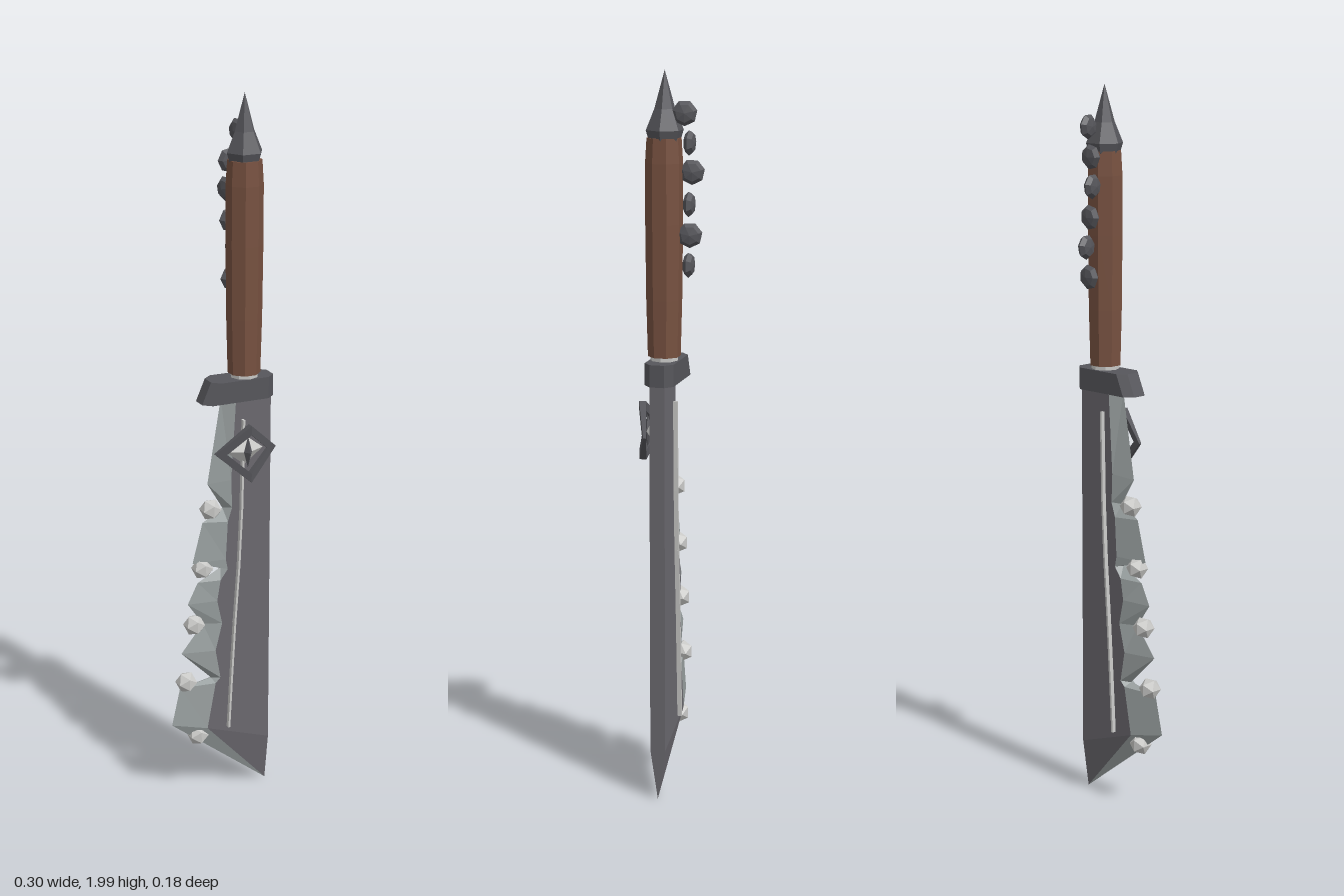
import * as THREE from 'three';

const mat = (name, color, side = THREE.FrontSide) => {
  const m = new THREE.MeshStandardMaterial({ color, flatShading: true, side });
  m.name = name;
  return m;
};

const ZC = 0.012; // mid-plane of the blade

export function createModel() {
  const steel = mat('dark steel', 0x6a686e);
  const edgeSteel = mat('sharpened steel', 0x9aa1a1);
  const iron = mat('black iron', 0x56565b);
  const pale = mat('pale metal', 0xc9c9c7);
  const wood = mat('brown wood', 0x775140);
  const model = new THREE.Group();

  const add = (name, geometry, material, x = 0, y = 0, z = 0, parent = model) => {
    const mesh = new THREE.Mesh(geometry, material);
    mesh.name = name;
    mesh.position.set(x, y, z);
    parent.add(mesh);
    return mesh;
  };

  // Mirrored faces: each polygon is given as seen from the front, z is half thickness
  const twoSided = (polygons, extra = []) => {
    const out = [];
    const fan = (p, s) => {
      for (let i = 1; i < p.length - 1; i++) {
        const tri = s > 0 ? [p[0], p[i], p[i + 1]] : [p[0], p[i + 1], p[i]];
        tri.forEach(([x, y, z]) => out.push(x, y, ZC + s * z));
      }
    };
    polygons.forEach(p => { fan(p, 1); fan(p, -1); });
    extra.forEach(p => fan(p, 1));
    const g = new THREE.BufferGeometry();
    g.setAttribute('position', new THREE.Float32BufferAttribute(out, 3));
    g.computeVertexNormals();
    return g;
  };

  // Blade stations from the guard down: edge x, edge y, bevel x, bevel y
  const T = 0.021;
  const stations = [
    [0.0, 1.18, 0.036, 1.18], [-0.04, 0.94, 0.022, 0.95], [0.005, 0.865, 0.025, 0.87],
    [-0.055, 0.83, 0.012, 0.83], [-0.085, 0.715, 0.006, 0.72], [0.0, 0.69, 0.012, 0.69],
    [-0.07, 0.655, -0.01, 0.66], [-0.1, 0.595, -0.02, 0.6], [-0.055, 0.53, -0.005, 0.53],
    [-0.12, 0.45, -0.025, 0.45], [-0.03, 0.36, -0.01, 0.365], [-0.125, 0.345, -0.025, 0.35],
    [-0.15, 0.235, -0.05, 0.215],
  ];
  const tip = [0.14, 0.01, 0];
  const spineX = 0.14, spineEnd = 0.15;
  const body = [], bevel = [];
  const E = s => [s[0], s[1], 0], B = s => [s[2], s[3], T];
  const S = (s, i) => [spineX, i === stations.length - 1 ? spineEnd : s[3], T];
  for (let i = 0; i < stations.length - 1; i++) {
    const a = stations[i], b = stations[i + 1];
    bevel.push([E(a), E(b), B(b), B(a)]);
    body.push([B(a), B(b), S(b, i + 1), S(a, i)]);
  }
  const last = stations[stations.length - 1];
  bevel.push([E(last), tip, B(last)]);
  body.push([B(last), tip, [spineX, spineEnd, T]]);
  const spine = [
    [[spineX, 1.18, T], [spineX, spineEnd, T], [spineX, spineEnd, -T], [spineX, 1.18, -T]],
    [[spineX, spineEnd, T], tip, [spineX, spineEnd, -T]],
  ];
  add('bladeBody', twoSided(body, spine), steel);
  add('bladeEdge', twoSided(bevel), edgeSteel);

  // Narrow ridge following the blade on both faces
  const ridge = [[0.055, 1.12], [0.05, 0.87], [0.042, 0.7], [0.03, 0.53], [0.02, 0.36], [0.012, 0.21]];
  for (let i = 0; i < ridge.length - 1; i++) {
    const [x0, y0] = ridge[i], [x1, y1] = ridge[i + 1];
    const seg = add('bladeRidge', new THREE.BoxGeometry(0.006, Math.hypot(x1 - x0, y1 - y0), 0.066),
      pale, (x0 + x1) / 2, (y0 + y1) / 2, ZC);
    seg.rotation.z = -Math.atan2(x0 - x1, y0 - y1);
  }

  // Studs along the cutting edge
  [[-0.03, 0.865], [-0.055, 0.695], [-0.08, 0.53], [-0.105, 0.36], [-0.07, 0.19]].forEach(([x, y]) =>
    add('edgeStud', new THREE.IcosahedronGeometry(0.031, 0), pale, x, y, 0.01));

  // Guard: chamfered slab with a slanted left end
  const plan = new THREE.Shape([
    [-0.063, -0.02], [-0.04, -0.04], [0.125, -0.04], [0.148, -0.02],
    [0.148, 0.02], [0.125, 0.04], [-0.04, 0.04], [-0.063, 0.02],
  ].map(p => new THREE.Vector2(...p)));
  const guard = new THREE.ExtrudeGeometry(plan, { depth: 0.06, bevelEnabled: false }).rotateX(-Math.PI / 2);
  const gp = guard.attributes.position;
  for (let i = 0; i < gp.count; i++) {
    if (gp.getX(i) < 0 && gp.getY(i) > 0.03) gp.setX(i, gp.getX(i) + 0.026);
  }
  add('guard', guard, iron, 0, 1.175, 0.01);

  // Handle: collar, octagonal grip and spiked hexagonal pommel
  const turned = (profile, sides, start) =>
    new THREE.LatheGeometry(profile.map(p => new THREE.Vector2(...p)), sides, start);
  const HX = 0.069;
  add('collar', new THREE.CylinderGeometry(0.038, 0.038, 0.03, 8), pale, HX, 1.24, ZC);
  add('grip', turned([[0, 1.246], [0.044, 1.246], [0.048, 1.4], [0.05, 1.6], [0.05, 1.76],
    [0.046, 1.825], [0, 1.825]], 8, Math.PI / 8), wood, HX, 0, ZC);
  add('pommel', turned([[0, 1.815], [0.042, 1.815], [0.051, 1.845], [0.028, 1.9], [0, 2]], 6, Math.PI / 2),
    iron, HX, 0, 0.01);

  // Hanging chain of flattened links behind the grip, turned alternately
  const links = [[0.075, 1.89, -0.045], [0.056, 1.812, -0.054], [0.047, 1.735, -0.058],
    [0.06, 1.652, -0.054], [0.07, 1.572, -0.058], [0.064, 1.492, -0.054]];
  links.forEach(([x, y, z], i) => {
    const g = new THREE.SphereGeometry(0.034, 7, 4).scale(1, 0.45, 1);
    if (i % 2) g.rotateX(Math.PI / 2); else g.rotateZ(Math.PI / 2).rotateY(0.2);
    add('chainLink', g, iron, x, y, z);
  });

  // Eye emblem: folded diamond frame, pale eye and dark slit
  const emblem = new THREE.Group();
  emblem.name = 'eyeEmblem';
  emblem.position.set(0.058, 1.035, 0);
  model.add(emblem);
  const diamond = (w, h) => [[w, 0], [0, h], [-w, 0], [0, -h]].map(p => new THREE.Vector2(...p));
  const frameShape = new THREE.Shape(diamond(0.091, 0.081));
  frameShape.holes.push(new THREE.Path(diamond(0.061, 0.055).reverse()));
  const frame = new THREE.ExtrudeGeometry(frameShape, { depth: 0.02, bevelEnabled: false });
  const fp = frame.attributes.position;
  for (let i = 0; i < fp.count; i++) {
    const k = Math.abs(fp.getX(i)) / 0.091;
    fp.setZ(i, 0.066 + fp.getZ(i) * (1 - 0.6 * k) - 0.026 * k);
  }
  add('eyeFrame', frame, iron, 0, 0, 0, emblem);
  add('eyeball', new THREE.OctahedronGeometry(1).scale(0.055, 0.042, 0.028), pale, 0, 0, 0.04, emblem);
  add('eyeSlit', new THREE.OctahedronGeometry(1).scale(0.012, 0.045, 0.014), iron, 0, 0, 0.062, emblem);

  return model;
}
